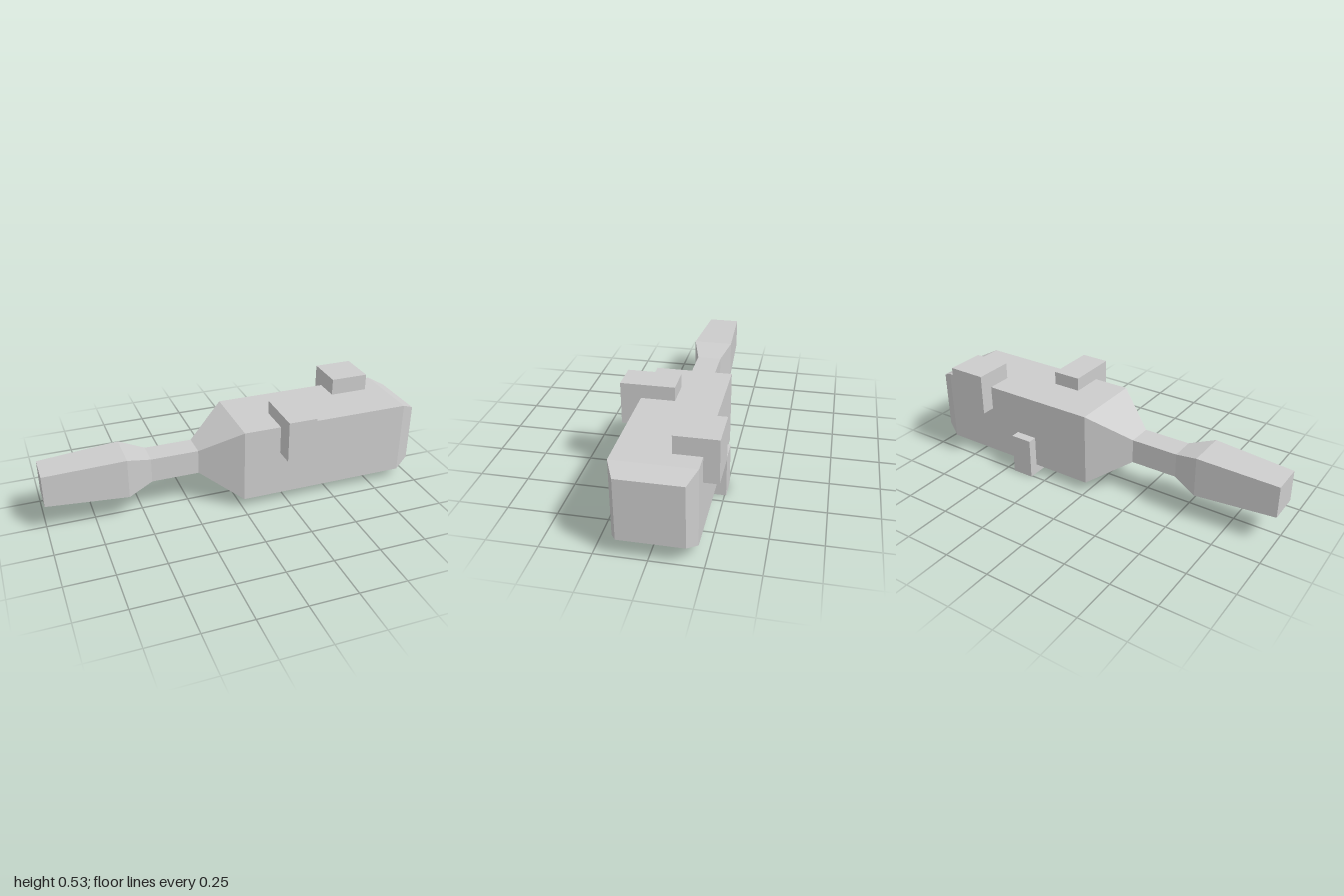
import * as THREE from 'three';

const CY = 0.249, CZ = -0.0135;

// Square-section bar lofted along x from [x, halfSize] stations
function loftSquare(stations) {
  const pos = [];
  const ring = ([x, h]) => [[1, 1], [1, -1], [-1, -1], [-1, 1]]
    .map(([sy, sz]) => [x, CY + sy * h, CZ + sz * h]);
  const quad = (a, b, c, d) => pos.push(...a, ...b, ...c, ...a, ...c, ...d);
  const rings = stations.map(ring);
  for (let i = 0; i < rings.length - 1; i++) {
    const p = rings[i], q = rings[i + 1];
    for (let k = 0; k < 4; k++) {
      const n = (k + 1) % 4;
      quad(p[k], q[k], q[n], p[n]);
    }
  }
  const s = rings[0], e = rings[rings.length - 1];
  quad(s[0], s[1], s[2], s[3]);
  quad(e[3], e[2], e[1], e[0]);
  const geo = new THREE.BufferGeometry();
  geo.setAttribute('position', new THREE.Float32BufferAttribute(pos, 3));
  geo.computeVertexNormals();
  return geo;
}

export function createModel() {
  const group = new THREE.Group();
  const grey = new THREE.MeshStandardMaterial({ color: 0xcccccc });
  grey.name = 'light grey';

  const add = (name, geo) => {
    const mesh = new THREE.Mesh(geo, grey);
    mesh.name = name;
    group.add(mesh);
    return mesh;
  };

  // Flared handle, thin neck and chamfered head in one bar
  add('clubBody', loftSquare([
    [-1, 0.084], [-0.58, 0.106], [-0.45, 0.065], [-0.2, 0.065],
    [0.007, 0.196], [0.92, 0.196], [1, 0.156],
  ]));

  // Blocks wrapped over the head's edges: [name, min corner, max corner]
  const blocks = [
    ['frontTopBlock', [0.203, 0.297, 0.014], [0.354, 0.516, 0.284]],
    ['backTopBlock', [0.619, 0.316, -0.282], [0.824, 0.534, -0.075]],
    ['backBottomBlock', [0.333, 0, -0.258], [0.45, 0.22, -0.046]],
  ];
  for (const [name, lo, hi] of blocks) {
    const size = hi.map((v, i) => v - lo[i]);
    add(name, new THREE.BoxGeometry(...size))
      .position.set(...hi.map((v, i) => (v + lo[i]) / 2));
  }
  return group;
}
